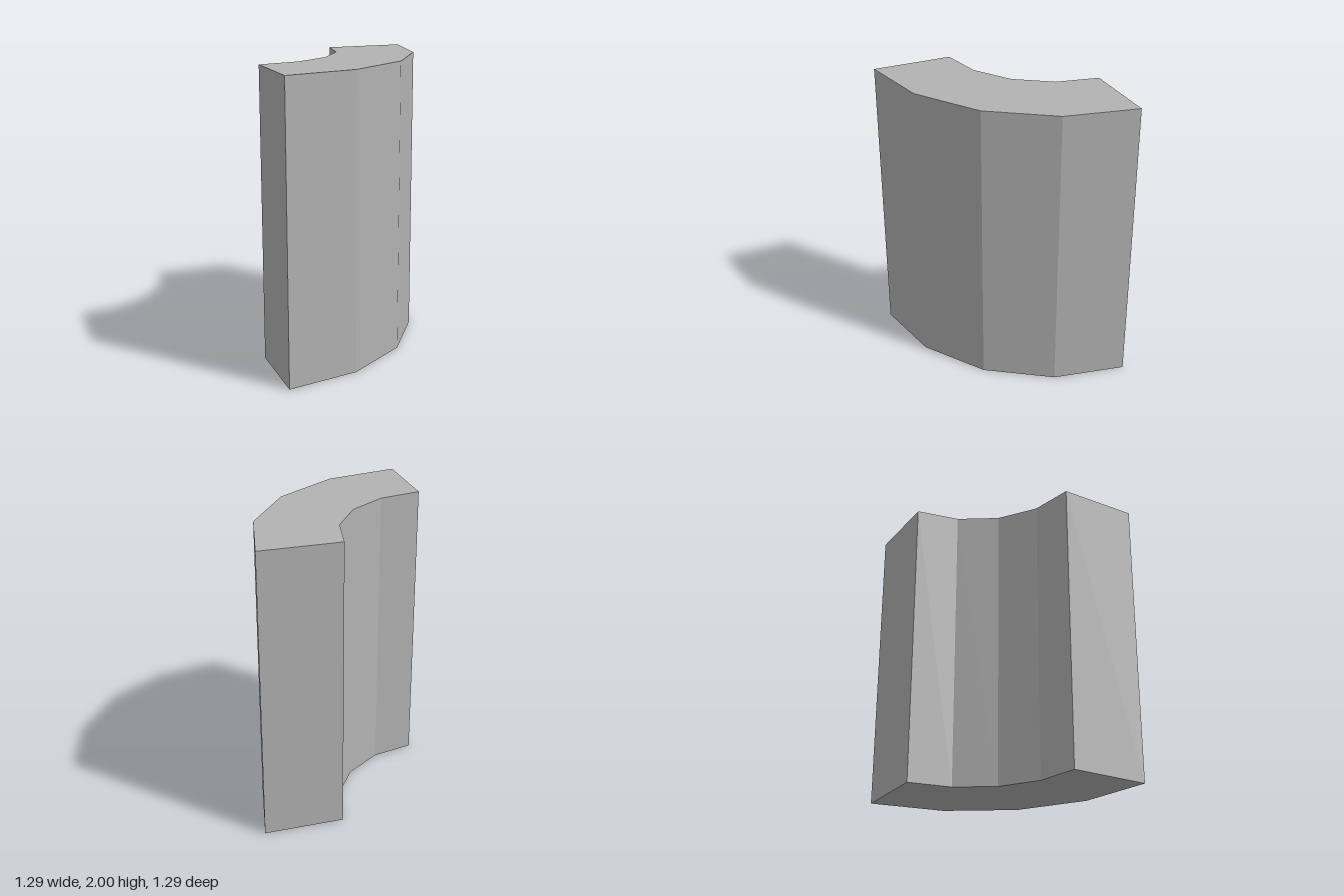
import * as THREE from 'three';

export function createModel() {
  const group = new THREE.Group();
  const stone = new THREE.MeshStandardMaterial({ color: 0xb2b2b2 });
  stone.name = 'plain grey';

  // Quarter-ring footprint, four straight segments per arc
  const outer = 1.29, inner = 0.752, height = 2, segments = 4;
  const half = outer / 2;
  const arc = (radius) => Array.from({ length: segments + 1 }, (_, i) => {
    const a = -Math.PI / 2 + (i / segments) * Math.PI / 2;
    return new THREE.Vector2(-half + radius * Math.cos(a), half + radius * Math.sin(a));
  });
  const footprint = new THREE.Shape([...arc(outer), ...arc(inner).reverse()]);

  // Raise the footprint into a curved wall with flat facets
  const geometry = new THREE.ExtrudeGeometry(footprint, { depth: height, bevelEnabled: false });
  geometry.rotateX(-Math.PI / 2);
  const wall = new THREE.Mesh(geometry, stone);
  wall.name = 'curvedWall';
  group.add(wall);
  return group;
}
